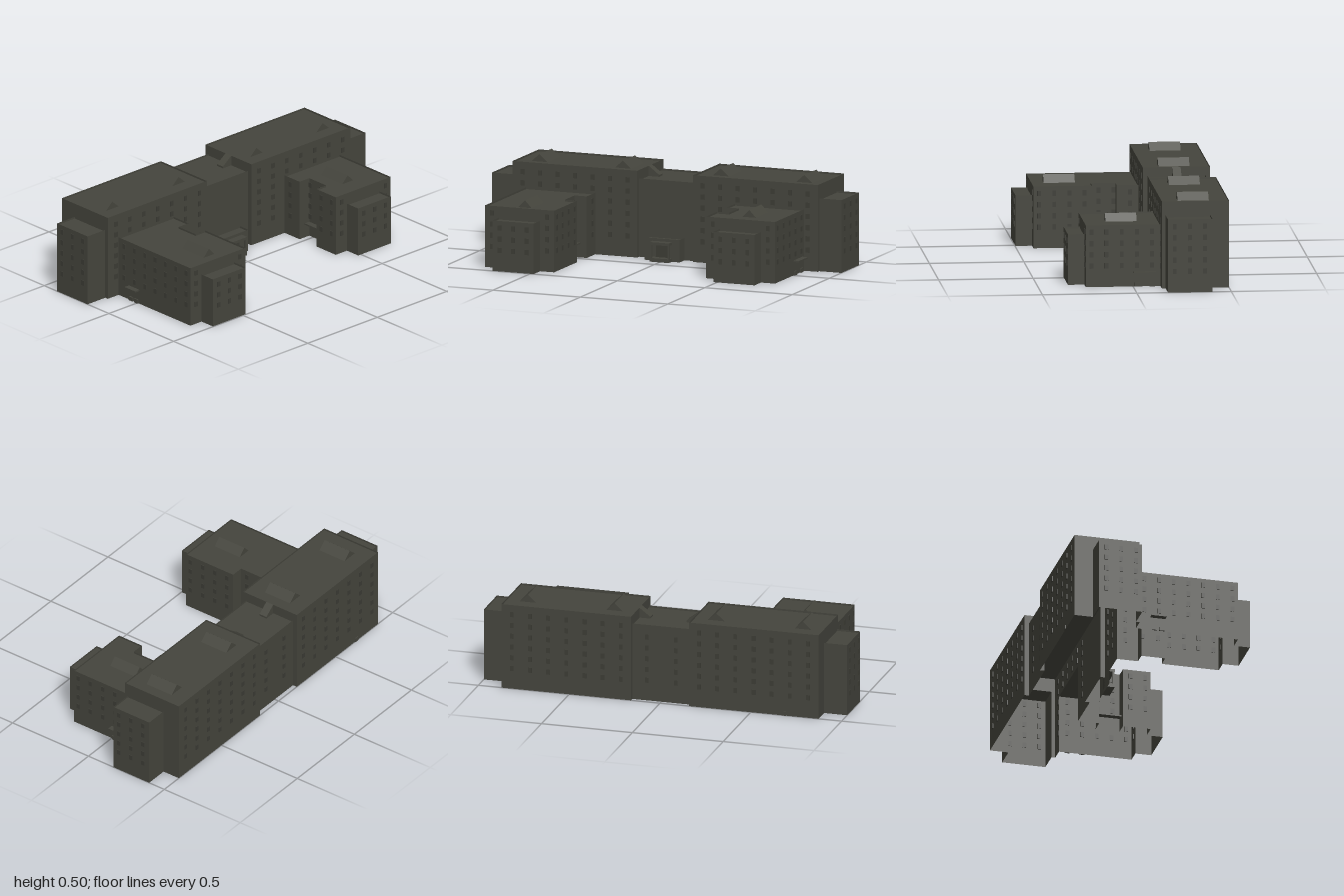
import * as THREE from 'three';

const wallMat = new THREE.MeshStandardMaterial({ color: 0x45453d, side: THREE.DoubleSide });
wallMat.name = 'dark stone';
const windowMat = new THREE.MeshStandardMaterial({ color: 0x3c3c35 });
windowMat.name = 'dark window';

const PARAPET = 0.01;

export function createModel() {
  const model = new THREE.Group();

  function add(parent, name, geometry, material = wallMat) {
    const mesh = new THREE.Mesh(geometry, material);
    mesh.name = name;
    parent.add(mesh);
    return mesh;
  }

  // Box given by its limits on each axis
  function box(parent, name, x0, x1, y0, y1, z0, z1, material) {
    const mesh = add(parent, name, new THREE.BoxGeometry(Math.abs(x1 - x0), y1 - y0, z1 - z0), material);
    mesh.position.set((x0 + x1) / 2, (y0 + y1) / 2, (z0 + z1) / 2);
    return mesh;
  }

  // Hollow block: footprint points are [x, z, base height of the wall that starts here]
  function block(name, footprint, height, side = 1) {
    const group = new THREE.Group();
    group.name = name;
    const positions = [];
    footprint.forEach(([ax, az, base = 0], i) => {
      if (base >= height) return;
      let a = [ax * side, az];
      const next = footprint[(i + 1) % footprint.length];
      let b = [next[0] * side, next[1]];
      if (side < 0) [a, b] = [b, a];
      const p = [[a[0], base, a[1]], [b[0], base, b[1]], [b[0], height, b[1]], [a[0], height, a[1]]];
      for (const k of [0, 1, 2, 0, 2, 3]) positions.push(...p[k]);
    });
    const walls = new THREE.BufferGeometry();
    walls.setAttribute('position', new THREE.Float32BufferAttribute(positions, 3));
    walls.computeVertexNormals();
    add(group, 'walls', walls);

    // Roof sits a little below the parapet
    const outline = new THREE.Shape(footprint.map(([x, z]) => new THREE.Vector2(x * side, -z)));
    const roof = new THREE.ShapeGeometry(outline);
    roof.rotateX(-Math.PI / 2);
    roof.translate(0, height - PARAPET, 0);
    add(group, 'roof', roof);
    model.add(group);
    return group;
  }

  // Triangular or other prism running along z
  function prism(parent, name, points, z0, z1) {
    const shape = new THREE.Shape(points.map(([x, y]) => new THREE.Vector2(x, y)));
    const geometry = new THREE.ExtrudeGeometry(shape, { depth: z1 - z0, bevelEnabled: false });
    geometry.translate(0, 0, z0);
    add(parent, name, geometry);
  }

  function skylight(parent, x, y, z0, z1, half) {
    const base = y - PARAPET;
    prism(parent, 'skylight', [[x - half, base], [x + half, base], [x, y + 0.03]], z0, z1);
  }

  // Windows, in rows 0.06 apart, on walls facing z or x
  const rowY = (row) => 0.113 + row * 0.06;
  const paneZ = new THREE.BoxGeometry(0.02, 0.028, 0.008);
  const paneX = new THREE.BoxGeometry(0.008, 0.028, 0.02);
  function windows(parent, geometry, spots, firstRow, lastRow) {
    for (const [x, z] of spots) {
      for (let row = firstRow; row <= lastRow; row++) {
        add(parent, 'window', geometry, windowMat).position.set(x, rowY(row), z);
      }
    }
  }

  for (const side of [1, -1]) {
    const label = side > 0 ? 'left' : 'right';

    // Tall main block, open where lower blocks join it
    const main = block(label + 'MainBlock', [
      [0.16, -0.145], [0.4, -0.145, 0.32], [0.795, -0.145], [0.873, -0.145], [0.873, -0.165, 0.38],
      [0.873, -0.4], [0.873, -0.5], [0.16, -0.5], [0.16, -0.475, 0.41], [0.16, -0.17],
    ], 0.465, side);
    for (let i = 0; i < 7; i++) {
      const x = 0.215 + i * 0.1;
      const behindWing = x > 0.39 && x < 0.81;
      windows(main, paneZ, [[side * x, -0.145]], behindWing ? 4 : 0, 5);
      windows(main, paneZ, [[side * x, -0.5]], 0, 5);
    }
    for (const x of [0.28, 0.757]) skylight(main, side * x, 0.465, -0.4, -0.235, 0.045);

    // Lower block on the outer end
    const end = block(label + 'EndBlock', [
      [0.873, -0.165], [1, -0.165], [1, -0.4], [0.873, -0.4, 1],
    ], 0.39, side);
    windows(end, paneX, [-0.2, -0.28, -0.36].map((z) => [side, z]), 0, 4);

    // Forward wing with a recessed bay on its inner side
    const front = side > 0 ? 0.25 : 0.41;
    const wing = block(label + 'Wing', [
      [0.4, front], [0.48, front, 0.26], [0.715, front], [0.795, front], [0.795, -0.145, 1],
      [0.4, -0.145], [0.4, -0.03], [0.47, -0.03], [0.47, 0.1], [0.4, 0.1],
    ], 0.33, side);
    const columns = [-0.1, -0.02, 0.06, 0.14, 0.22, 0.3, 0.38].filter((z) => z < front);
    windows(wing, paneX, columns.map((z) => [side * 0.795, z]), 0, 3);
    windows(wing, paneX, columns.map((z) => [side * (z > -0.05 && z < 0.1 ? 0.47 : 0.4), z]), 0, 3);
    windows(wing, paneZ, [[side * 0.44, front], [side * 0.755, front]], 0, 3);
    if (side > 0) skylight(wing, 0.597, 0.33, -0.035, 0.13, 0.038);
    else skylight(wing, -0.597, 0.33, 0.175, 0.34, 0.038);

    // Shallow projection at the front of the wing
    const nose = block(label + 'WingFront', [
      [0.48, front + 0.087], [0.715, front + 0.087], [0.715, front], [0.48, front],
    ].map((p, i) => (i === 2 ? [...p, 1] : p)), 0.27, side);
    windows(nose, paneZ, [0.52, 0.5975, 0.675].map((x) => [side * x, front + 0.087]), 0, 2);

    // Side doors: canopies over low steps
    box(wing, 'innerCanopy', side * 0.437, side * 0.47, 0.072, 0.08, -0.03, 0.1);
    const [c0, c1] = side > 0 ? [-0.12, 0] : [-0.065, 0.015];
    box(wing, 'outerCanopy', side * 0.795, side * 0.827, 0.072, 0.08, c0, c1);
    for (const z of [c0 + 0.02, c1 - 0.02]) {
      box(wing, 'doorStep', side * 0.795, side * 0.803, 0, 0.022, z - 0.014, z + 0.014);
    }
  }

  // Lower linking block
  const centre = block('centreBlock', [
    [-0.16, -0.17], [0.16, -0.17, 1], [0.16, -0.475], [-0.16, -0.475, 1],
  ], 0.42);
  windows(centre, paneZ, [[-0.08, -0.475], [0.08, -0.475]], 0, 4);
  for (const s of [1, -1]) {
    prism(centre, 'roofRamp', [[s * 0.16, 0.41], [s * 0.1, 0.41], [s * 0.1, 0.42], [s * 0.16, 0.465]], -0.345, -0.3);
  }

  // Entrance hall with an open porch
  const entrance = block('entranceHall', [
    [-0.1, -0.105], [0.1, -0.105], [0.1, -0.17], [-0.1, -0.17, 1],
  ], 0.12);
  box(entrance, 'porchRoof', -0.055, 0.055, 0.09, 0.105, -0.105, -0.065);
  box(entrance, 'porchStep', -0.055, 0.055, 0, 0.02, -0.105, -0.065);
  for (const s of [1, -1]) box(entrance, 'porchPost', s * 0.045, s * 0.055, 0.02, 0.09, -0.077, -0.067);
  box(entrance, 'door', -0.035, 0.035, 0.02, 0.085, -0.105, -0.101, windowMat);

  // Small step by the back wall
  box(model, 'backStep', -0.695, -0.67, 0, 0.022, -0.505, -0.5);

  return model;
}
